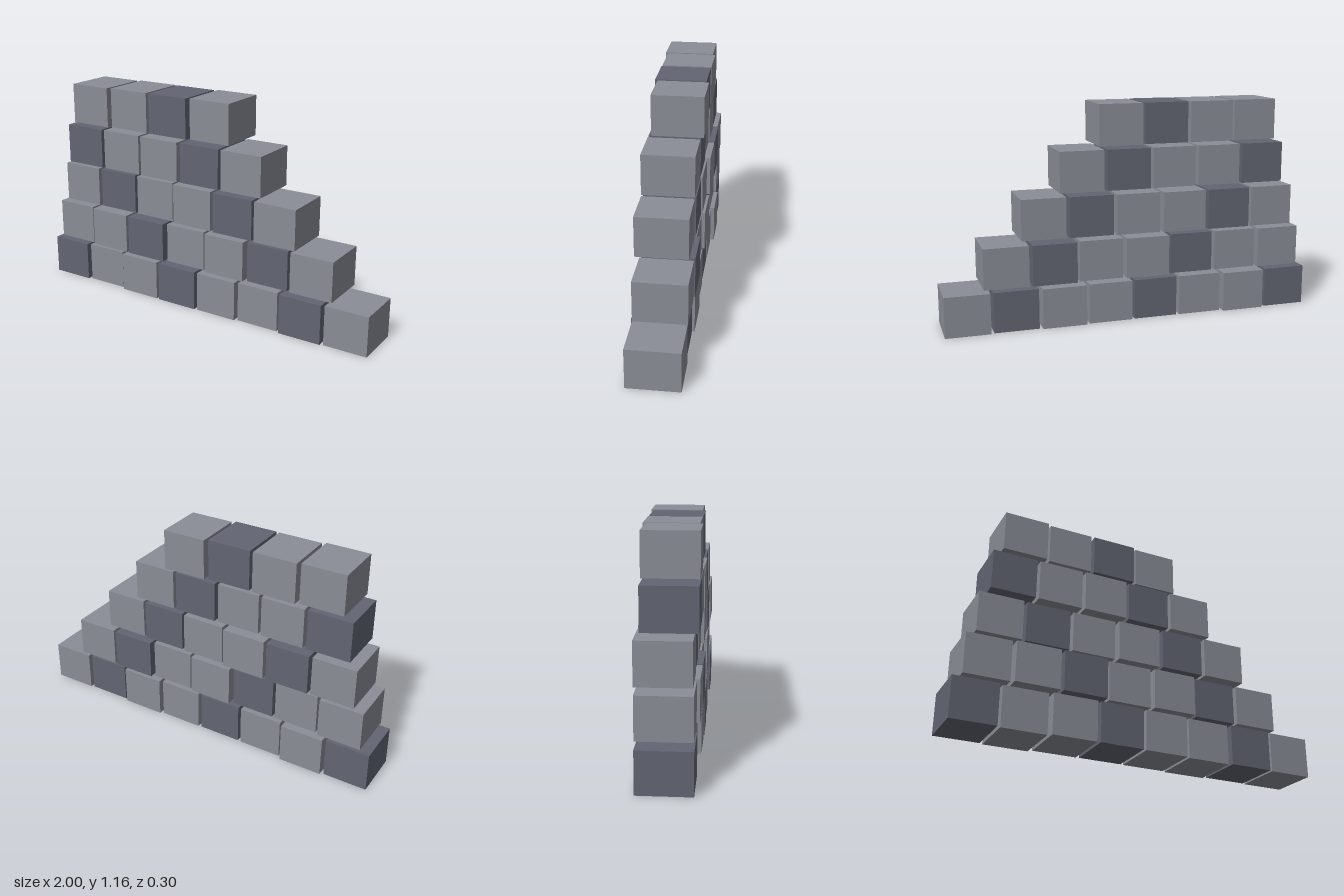
import * as THREE from 'three';

// Stepped wall of loose stone blocks, each set slightly forward or back
export function createModel() {
  const wall = new THREE.Group();
  wall.name = 'stoneWall';
  const lightStone = new THREE.MeshStandardMaterial({ color: 0x8a8d96 });
  lightStone.name = 'light stone';
  const darkStone = new THREE.MeshStandardMaterial({ color: 0x626572 });
  darkStone.name = 'dark stone';

  const width = 0.235, height = 0.214, depth = 0.268;
  const pitchX = 0.2521, pitchY = 0.2355, rowShift = 0.05;
  const block = new THREE.BoxGeometry(width, height, depth);

  // Depth offset of every block, one list per course from the ground up
  const courses = [
    [0, -0.012, 0.008, 0.01, 0.006, -0.005, 0.008, 0],
    [-0.005, 0.01, 0.012, -0.008, 0.008, -0.011, -0.006],
    [-0.012, -0.016, -0.015, 0.002, 0.008, 0.014],
    [0.012, 0.01, 0.014, 0.008, 0.009],
    [0.014, 0, 0.002, -0.013],
  ];

  courses.forEach((offsets, row) => {
    const course = new THREE.Group();
    course.name = `course${row + 1}`;
    offsets.forEach((z, i) => {
      // Every third stone is dark, stepping back one place per course
      const stone = new THREE.Mesh(block, (i + row) % 3 === 0 ? darkStone : lightStone);
      stone.name = `block${i + 1}`;
      stone.position.set(-1 + row * rowShift + i * pitchX + width / 2, row * pitchY + height / 2, z);
      course.add(stone);
    });
    wall.add(course);
  });
  return wall;
}
